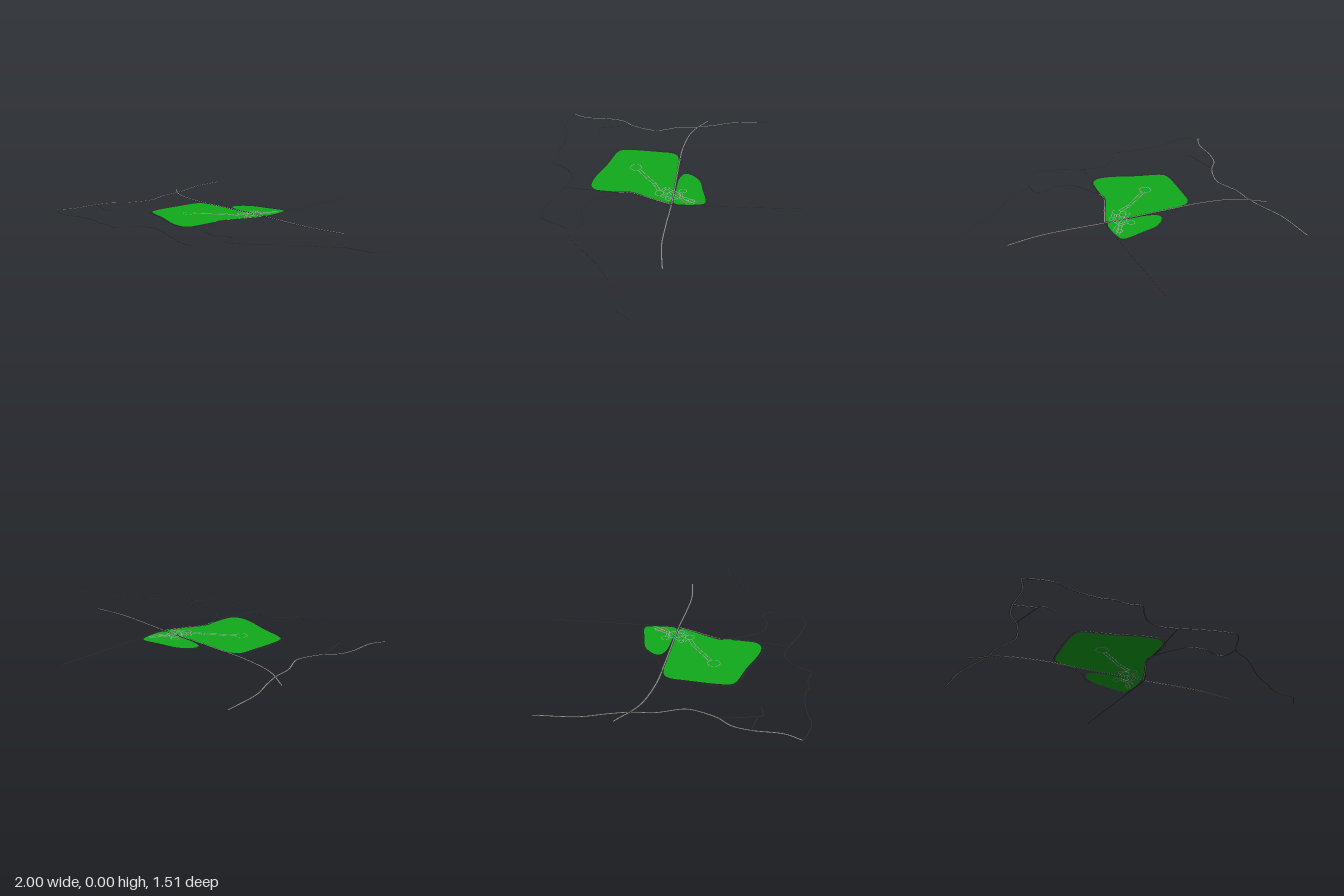
import * as THREE from 'three';

const MID = 0.001; // height of the ground sheets
const material = color => new THREE.MeshStandardMaterial({ color, side: THREE.DoubleSide });
const dark = material(0x2b2b2b);
const grey = material(0x8c8c8c);
const pale = material(0x9aa89a);
const green = material(0x11aa1c);

// Smooth curve through [x, z] pairs
function curveOf(points, closed = false) {
  return new THREE.CatmullRomCurve3(points.map(([x, z]) => new THREE.Vector3(x, MID, z)), closed, 'centripetal');
}

// Flat strip along a curve between two parameters, with a very thin rectangular section
function ribbon(curve, width, height, steps, from = 0, to = 1, offset = 0) {
  const pos = [], index = [];
  for (let i = 0; i <= steps; i++) {
    const t = from + (to - from) * i / steps;
    const p = curve.getPointAt(t), d = curve.getTangentAt(t);
    for (const [s, h] of [[-1, 1], [1, 1], [1, -1], [-1, -1]]) {
      const w = offset + s * width / 2;
      pos.push(p.x - d.z * w, MID + h * height / 2, p.z + d.x * w);
    }
    if (i === steps) continue;
    for (let k = 0; k < 4; k++) {
      const a = i * 4 + k, b = i * 4 + (k + 1) % 4;
      index.push(a, a + 4, b, b, a + 4, b + 4);
    }
  }
  const g = new THREE.BufferGeometry();
  g.setAttribute('position', new THREE.Float32BufferAttribute(pos, 3));
  g.setIndex(index);
  const flat = g.toNonIndexed();
  flat.computeVertexNormals();
  return flat;
}

export function createModel() {
  const model = new THREE.Group();
  model.name = 'siteMap';
  const add = (name, geometry, mat, parent = model) => {
    const mesh = new THREE.Mesh(geometry, mat);
    mesh.name = name;
    parent.add(mesh);
    return mesh;
  };

  // Green areas
  const areas = {
    largeGreenArea: [[-0.54, 0.09], [-0.53, 0.02], [-0.505, -0.012], [-0.45, -0.023], [-0.29, -0.016], [0.0, 0.002],
      [0.015, 0.02], [-0.03, 0.115], [-0.09, 0.245], [-0.087, 0.31], [-0.1, 0.445], [-0.135, 0.478], [-0.21, 0.475],
      [-0.38, 0.412], [-0.54, 0.355], [-0.555, 0.32]],
    smallGreenArea: [[-0.295, -0.09], [-0.235, -0.152], [-0.128, -0.177], [0.005, -0.193], [0.02, -0.16],
      [0.022, -0.03], [0.005, -0.012], [-0.128, -0.022], [-0.24, -0.036], [-0.29, -0.06]]
  };
  for (const [name, pts] of Object.entries(areas)) {
    const outline = curveOf(pts, true).getSpacedPoints(120).map(p => new THREE.Vector2(p.x, -p.z));
    const g = new THREE.ShapeGeometry(new THREE.Shape(outline));
    g.rotateX(-Math.PI / 2).translate(0, MID, 0);
    add(name, g, green);
  }

  // Main roads: grey strip between two dark kerb lines
  const mainRoads = {
    westRoad: [[-0.95, -0.6], [-0.935, -0.37], [-0.893, -0.235], [-0.866, -0.128], [-0.856, -0.01], [-0.807, 0.128],
      [-0.813, 0.18], [-0.861, 0.294], [-0.92, 0.364], [-0.947, 0.46], [-0.957, 0.62], [-0.998, 0.705]],
    crossRoad: [[-0.952, -0.198], [-0.802, -0.096], [-0.594, -0.043], [-0.396, -0.027], [0.027, -0.002],
      [0.246, 0.021], [0.417, 0.032], [0.61, 0.016]],
    southRoad: [[0.027, 0], [-0.021, 0.112], [-0.08, 0.246], [-0.078, 0.31]]
  };
  for (const [name, pts] of Object.entries(mainRoads)) {
    const road = new THREE.Group();
    road.name = name;
    model.add(road);
    const curve = curveOf(pts);
    add('surface', ribbon(curve, 0.006, 0.0016, 80), grey, road);
    for (const s of [-1, 1]) add('kerb', ribbon(curve, 0.0025, 0.002, 80, 0, 1, s * 0.0042), dark, road);
  }

  // Minor roads and tracks
  const minorRoads = {
    northRoad: [[0.032, -0.755], [0.032, -0.13], [0.027, 0]],
    southLane: [[-0.08, 0.31], [-0.096, 0.46], [-0.118, 0.636]],
    southWestTrack: [[-0.998, 0.705], [-0.93, 0.733], [-0.856, 0.747], [-0.77, 0.727], [-0.679, 0.717],
      [-0.583, 0.722], [-0.54, 0.738], [-0.465, 0.733], [-0.385, 0.749], [-0.353, 0.7], [-0.289, 0.631],
      [-0.214, 0.61], [-0.118, 0.636]],
    southEastTrack: [[-0.118, 0.636], [0.032, 0.695], [0.176, 0.727], [0.21, 0.7], [0.278, 0.578], [0.396, 0.513],
      [0.594, 0.353], [0.7, 0.294], [0.78, 0.241], [0.94, 0.219], [0.963, 0.193], [0.998, 0.15]],
    windingLane: [[-0.075, 0.31], [-0.021, 0.406], [0.037, 0.481], [0.139, 0.503], [0.219, 0.476],
      [0.262, 0.492], [0.278, 0.578]],
    westSpur: [[-0.866, 0.3], [-0.829, 0.492]],
    westLink: [[-0.947, 0.46], [-0.829, 0.492]],
    westStub: [[-0.829, 0.492], [-0.818, 0.513], [-0.743, 0.503]]
  };
  for (const [name, pts] of Object.entries(minorRoads)) add(name, ribbon(curveOf(pts), 0.005, 0.002, 90), dark);

  // Dashed boundary around both areas
  const boundary = new THREE.Group();
  boundary.name = 'dashedBoundary';
  model.add(boundary);
  const border = curveOf([[0.012, -0.2], [0.028, -0.16], [0.03, 0.005], [-0.021, 0.12], [-0.08, 0.25], [-0.076, 0.31],
    [-0.09, 0.46], [-0.13, 0.49], [-0.21, 0.487], [-0.38, 0.424], [-0.55, 0.366], [-0.567, 0.325], [-0.551, 0.08],
    [-0.53, 0.005], [-0.476, -0.028], [-0.396, -0.055], [-0.32, -0.088], [-0.296, -0.118], [-0.246, -0.166],
    [-0.128, -0.19]], true);
  border.arcLengthDivisions = 800;
  const dashes = 100;
  for (let i = 0; i < dashes; i++) {
    add('dash', ribbon(border, 0.005, 0.002, 3, i / dashes, (i + 0.62) / dashes), dark, boundary);
  }

  // Footpaths: pairs of thin outlines joining small round clearings
  const paths = new THREE.Group();
  paths.name = 'footpaths';
  model.add(paths);
  const clearings = [[-0.353, 0.235, 0.036], [-0.175, 0.107, 0.014], [-0.083, 0.075, 0.027], [-0.064, -0.01, 0.042],
    [-0.112, -0.062, 0.023], [-0.012, -0.115, 0.02], [-0.135, 0.032, 0.016], [-0.03, 0.02, 0.02]];
  for (const [x, z, r] of clearings) {
    const ring = new THREE.RingGeometry(r - 0.004, r, 24).rotateX(-Math.PI / 2);
    for (const y of [0.0003, 0.0018]) add('clearing', ring, pale, paths).position.set(x, y, z);
  }
  const links = [
    [[-0.33, 0.215], [-0.25, 0.16], [-0.185, 0.112]],
    [[-0.162, 0.102], [-0.107, 0.078]],
    [[-0.08, 0.05], [-0.072, 0.03]],
    [[-0.09, -0.052], [-0.03, -0.06], [0.01, -0.1]],
    [[-0.05, -0.05], [-0.022, -0.1], [0.01, -0.14]],
    [[-0.125, 0.02], [-0.1, -0.002]],
    [[-0.09, -0.042], [-0.085, -0.028]],
    [[-0.06, 0.065], [-0.04, 0.038]],
    [[-0.135, 0.045], [-0.1, 0.06]],
    [[-0.098, 0.01], [-0.064, -0.01], [-0.028, -0.04]]
  ];
  for (const pts of links) {
    const curve = curveOf(pts);
    for (const s of [-1, 1]) add('pathEdge', ribbon(curve, 0.004, 0.002, 12, 0, 1, s * 0.009), pale, paths);
  }
  return model;
}
